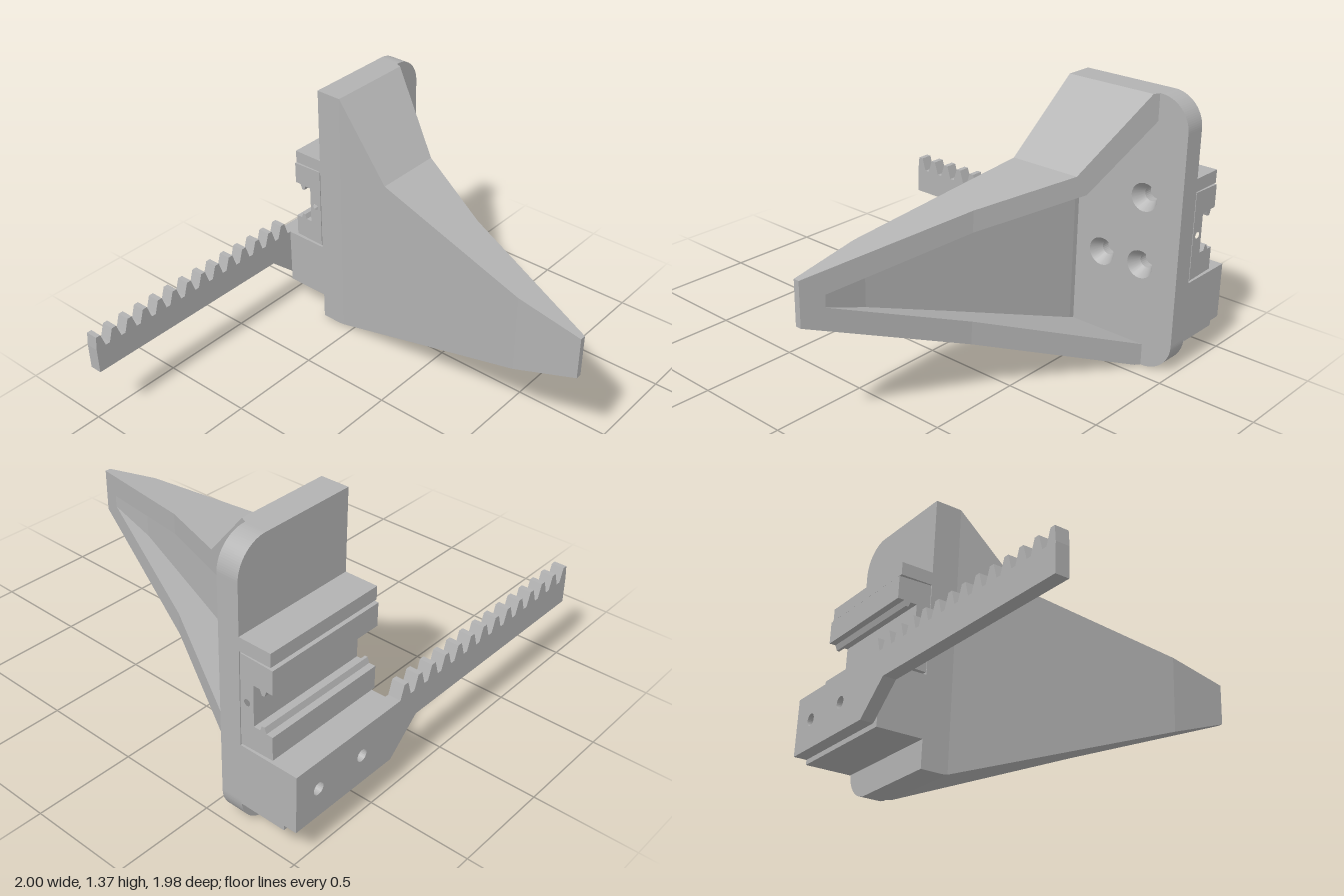
import * as THREE from 'three';

const grey = new THREE.MeshStandardMaterial({ color: 0xb2b2b2 });
grey.name = 'plainGrey';
const greyInside = grey.clone();
greyInside.side = THREE.DoubleSide;

// Piecewise-linear lookup through [x, value] points
function lerpAt(points, x) {
  for (let i = 1; i < points.length; i++) {
    const [x0, v0] = points[i - 1], [x1, v1] = points[i];
    if (x <= x1) return v0 + (v1 - v0) * (x - x0) / (x1 - x0);
  }
  return points[points.length - 1][1];
}

function shapeOf(points) {
  return new THREE.Shape(points.map(([a, b]) => new THREE.Vector2(a, b)));
}

function addHole(shape, u, y, r) {
  shape.holes.push(new THREE.Path().absarc(u, y, r, 0, Math.PI * 2, true));
}

function extrude(shape, depth) {
  return new THREE.ExtrudeGeometry(shape, { depth, bevelEnabled: false, curveSegments: 12 });
}

// Extrude a (-z, y) shape along x, from x0 to x1
function extrudeX(shape, x0, x1) {
  return extrude(shape, x1 - x0).rotateY(Math.PI / 2).translate(x0, 0, 0);
}

// Hollow tapering arm: C-shaped sections joined along x
function armGeometry() {
  const top = [[-0.59, 1.37], [-0.56, 1.37], [-0.23, 1.03], [1, 0.795]];
  const bottom = [[-0.59, 0], [-0.57, 0], [1, 0.575]];
  const front = [[-0.59, -0.35], [-0.56, -0.35], [0.66, -0.16], [1, -0.16]];
  const back = [[-0.59, -0.83], [0.22, -0.45], [1, -0.19]];
  const innerTop = [[-0.59, 1.24], [-0.56, 1.21], [-0.28, 0.935], [0.22, 0.84], [0.89, 0.705], [1, 0.69]];
  const innerBottom = [[-0.59, 0.11], [0.22, 0.405], [0.89, 0.645], [1, 0.68]];
  const stations = [-0.59, -0.56, -0.28, -0.23, 0.22, 0.66, 0.89, 1];
  const rings = stations.map(x => {
    const t = lerpAt(top, x), b = lerpAt(bottom, x);
    const f = lerpAt(front, x), k = lerpAt(back, x);
    const ti = lerpAt(innerTop, x), bi = lerpAt(innerBottom, x);
    const floor = x > 0.8 ? k : f - 0.066;
    return [[t, f], [t, k], [ti, k], [ti, floor], [bi, floor], [bi, k], [b, k], [b, f]]
      .map(([y, z]) => [x, y, z]);
  });
  const pos = [];
  const quad = (a, b, c, d) => pos.push(...a, ...b, ...c, ...a, ...c, ...d);
  for (let s = 1; s < rings.length; s++) {
    const a = rings[s - 1], b = rings[s];
    for (let i = 0; i < 8; i++) {
      const j = (i + 1) % 8;
      quad(a[i], b[i], b[j], a[j]);
    }
  }
  const e = rings[rings.length - 1];
  quad(e[0], e[7], e[6], e[1]);
  const g = new THREE.BufferGeometry();
  g.setAttribute('position', new THREE.Float32BufferAttribute(pos, 3));
  g.computeVertexNormals();
  return g;
}

// Side plate outline with its two back corners rounded
function plateShape(holeRadius, holes) {
  const s = new THREE.Shape(), r = 0.155, h = 1.37;
  s.moveTo(0.35, 0);
  s.lineTo(0.99 - r, 0);
  s.absarc(0.99 - r, r, r, -Math.PI / 2, 0, false);
  s.absarc(0.99 - r, h - r, r, 0, Math.PI / 2, false);
  s.lineTo(0.35, h);
  holes.forEach(([u, y]) => addHole(s, u, y, holeRadius));
  return s;
}

// Toothed bar widening into a drilled mounting flange
function rackShape() {
  const pts = [[0.99, 0.165], [0.99, 0.45]];
  for (let k = 13; k >= 0; k--) {
    const u = -0.97 + k * 0.0972;
    pts.push([u + 0.036, 0.45], [u + 0.013, 0.52], [u - 0.013, 0.52]);
    pts.push([Math.max(u - 0.036, -0.99), 0.45]);
  }
  pts.push([-0.99, 0.315], [0.21, 0.315], [0.38, 0.165]);
  const s = shapeOf(pts);
  addHole(s, 0.855, 0.31, 0.03);
  addHole(s, 0.58, 0.31, 0.03);
  return s;
}

// Slotted runner profile, mirrored about its middle height
function runnerShape() {
  const mid = 0.683;
  const half = [[-0.705, 0.222], [-0.875, 0.216], [-0.875, 0.102], [-0.842, 0.102],
    [-0.832, 0.075], [-0.818, 0.075], [-0.808, 0.1], [-0.775, 0.1]];
  const s = shapeOf([
    ...half.map(([x, d]) => [x, mid - d]),
    ...half.slice().reverse().map(([x, d]) => [x, mid + d]),
  ]);
  addHole(s, -0.74, mid, 0.016);
  return s;
}

export function createModel() {
  const model = new THREE.Group();
  model.name = 'bracketWithRack';
  const add = (name, geometry, material = grey) => {
    const m = new THREE.Mesh(geometry, material);
    m.name = name;
    model.add(m);
    return m;
  };
  const box = (name, x0, x1, y0, y1, z0, z1) =>
    add(name, new THREE.BoxGeometry(x1 - x0, y1 - y0, z1 - z0)
      .translate((x0 + x1) / 2, (y0 + y1) / 2, (z0 + z1) / 2));

  add('taperedArm', armGeometry());

  // Side plate in two layers, with countersunk screw holes
  const holes = [[0.565, 0.52], [0.785, 0.52], [0.785, 0.86]];
  add('sidePlateInner', extrudeX(plateShape(0.035, holes), -0.7, -0.65));
  add('sidePlateOuter', extrudeX(plateShape(0.07, holes), -0.65, -0.59));
  holes.forEach(([u, y]) => add('countersink',
    new THREE.CylinderGeometry(0.035, 0.07, 0.06, 24, 1, true)
      .rotateZ(Math.PI / 2).translate(-0.62, y, -u), greyInside));

  // Runner and the blocks that hold it
  add('slottedRunner', extrude(runnerShape(), 0.64).translate(0, 0, -0.99));
  box('runnerBacking', -0.71, -0.695, 0.47, 0.895, -0.985, -0.355);
  box('upperLedge', -0.865, -0.7, 0.91, 0.975, -0.99, -0.35);
  box('lowerBlock', -0.935, -0.7, 0.14, 0.45, -0.99, -0.35);

  add('toothedRack', extrudeX(rackShape(), -1, -0.935));
  return model;
}
